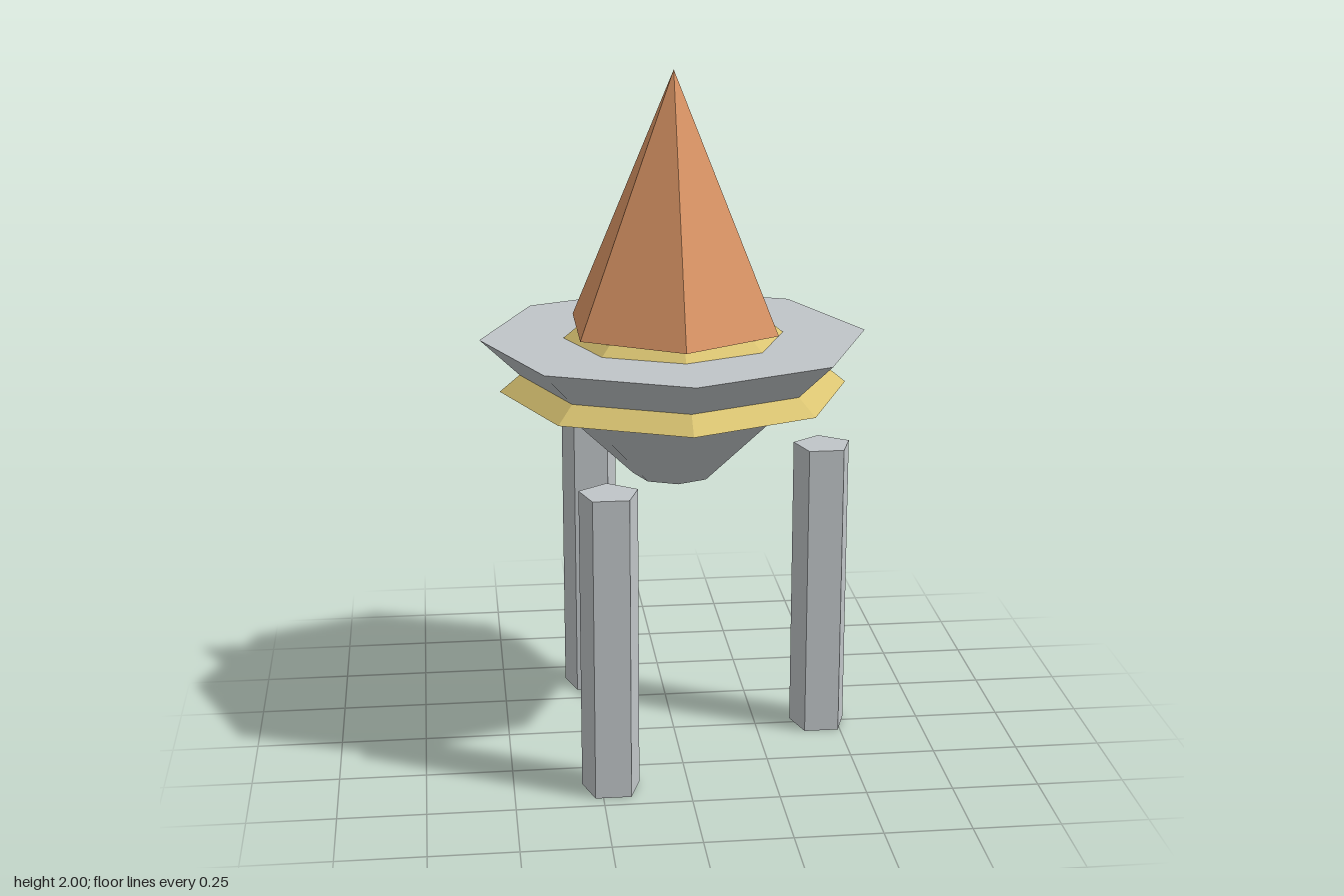
import * as THREE from 'three';

export function createModel() {
  const model = new THREE.Group();
  const material = (name, color) => {
    const m = new THREE.MeshStandardMaterial({ color, flatShading: true });
    m.name = name;
    return m;
  };
  const grey = material('light grey', 0xc0c5c8);
  const gold = material('pale gold', 0xdac472);
  const copper = material('copper', 0xdc9666);

  // Faceted frustum or cone standing between two heights
  const frustum = (name, mat, rTop, rBottom, y0, y1, sides) => {
    const geometry = new THREE.CylinderGeometry(rTop, rBottom, y1 - y0, sides);
    const mesh = new THREE.Mesh(geometry, mat);
    mesh.name = name;
    mesh.position.y = (y0 + y1) / 2;
    model.add(mesh);
    return mesh;
  };

  // Hull, the collar cone that pierces it, and the spire on top
  frustum('hull', grey, 0.56, 0.12, 0.82, 1.235, 8);
  frustum('collar', gold, 0, 0.505, 1.08, 1.5, 8);
  frustum('spire', copper, 0, 0.325, 1.265, 2, 6);

  // Three five-sided legs around the centre, all with a flat side to the front
  for (let i = 0; i < 3; i++) {
    const angle = (i * Math.PI * 2) / 3;
    const leg = frustum('leg' + (i + 1), grey, 0.087, 0.087, 0, 0.89, 5);
    leg.position.x = Math.cos(angle) * 0.443;
    leg.position.z = Math.sin(angle) * 0.443;
    leg.rotation.y = Math.PI;
  }
  return model;
}
